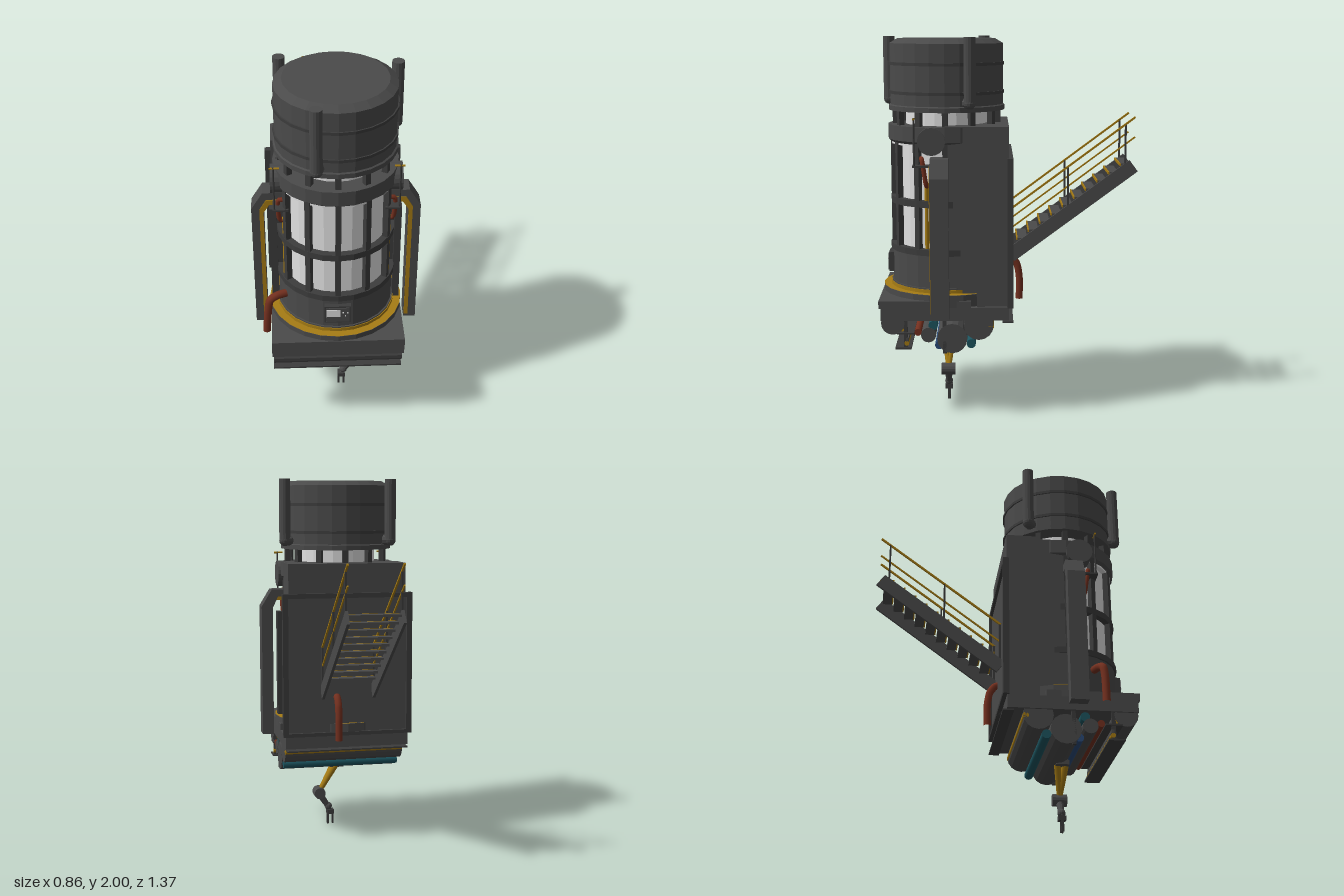
import * as THREE from 'three';

const paint = (name, color, extra = {}) => {
  const m = new THREE.MeshStandardMaterial({ color, ...extra });
  m.name = name;
  return m;
};

export function createModel() {
  const root = new THREE.Group();
  root.name = 'tankMachine';
  const steel = paint('dark steel', 0x4a4a4a, { flatShading: true });
  const trim = paint('darker trim', 0x3c3c3c, { flatShading: true });
  const white = paint('pale glass', 0xe2e2e2, { flatShading: true });
  const yellow = paint('safety yellow', 0xa67c14);
  const red = paint('rust red', 0x74301f);
  const teal = paint('teal', 0x1c5560);
  const blue = paint('blue', 0x2a4a78);
  const V = (x, y, z) => new THREE.Vector3(x, y, z);
  const CZ = 0.33; // tank axis

  const add = (name, geo, mat, x = 0, y = 0, z = 0) => {
    const m = new THREE.Mesh(geo, mat);
    m.name = name;
    m.position.set(x, y, z);
    root.add(m);
    return m;
  };
  const box = (name, mat, x0, x1, y0, y1, z0, z1) =>
    add(name, new THREE.BoxGeometry(x1 - x0, y1 - y0, z1 - z0), mat, (x0 + x1) / 2, (y0 + y1) / 2, (z0 + z1) / 2);
  const drum = (name, mat, r, y0, y1, sides = 24) =>
    add(name, new THREE.CylinderGeometry(r, r, y1 - y0, sides), mat, 0, (y0 + y1) / 2, CZ);
  // round rod between two points
  const rod = (name, mat, a, b, r, r2 = r, sides = 10) => {
    const m = add(name, new THREE.CylinderGeometry(r2, r, a.distanceTo(b), sides), mat);
    m.position.copy(a).add(b).multiplyScalar(0.5);
    m.quaternion.setFromUnitVectors(V(0, 1, 0), b.clone().sub(a).normalize());
    return m;
  };
  const lathe = (name, mat, pts) =>
    add(name, new THREE.LatheGeometry(pts.map(p => new THREE.Vector2(...p)), 24), mat, 0, 0, CZ);
  const plate = (name, mat, pts, depth, z) =>
    add(name, new THREE.ExtrudeGeometry(new THREE.Shape(pts.map(p => new THREE.Vector2(...p))),
      { depth, bevelEnabled: false }), mat, 0, 0, z);
  const pipe = (name, mat, pts, r) =>
    add(name, new THREE.TubeGeometry(new THREE.CatmullRomCurve3(pts, false, 'catmullrom', 0.3), 20, r, 10), mat);

  // ---- tank
  drum('tankBase', steel, 0.3, 0.6, 0.88);
  drum('lowerHoop', trim, 0.31, 0.865, 0.898);
  drum('tankGlass', white, 0.27, 0.88, 1.46);
  drum('middleHoop', trim, 0.305, 1.12, 1.155);
  drum('glassTopRim', white, 0.298, 1.437, 1.452);
  lathe('upperCollar', steel, [[0, 1.445], [0.295, 1.445], [0.315, 1.462], [0.315, 1.54], [0, 1.54]]);
  drum('neckGlass', white, 0.22, 1.53, 1.63);
  lathe('tankCap', steel, [[0, 1.615], [0.31, 1.615], [0.31, 1.64], [0.302, 1.645], [0.302, 1.965], [0.26, 1.99], [0, 1.99]]);
  for (const y of [1.71, 1.86]) drum('capHoop', trim, 0.309, y - 0.008, y + 0.008);
  for (let i = 0; i < 12; i++) {
    const a = i * Math.PI / 6, s = Math.sin(a), c = Math.cos(a);
    const bar = add('cageBar', new THREE.BoxGeometry(0.028, 0.58, 0.03), trim, s * 0.288, 1.17, CZ + c * 0.288);
    const stub = add('neckBar', new THREE.BoxGeometry(0.03, 0.09, 0.03), trim, s * 0.275, 1.58, CZ + c * 0.275);
    bar.rotation.y = stub.rotation.y = a;
  }
  // chimney pipes beside the cap, each with an elbow into it
  for (const [x, z] of [[-0.27, 0.13], [0.31, 0.2], [-0.105, 0.645]]) {
    rod('ventPipe', steel, V(x, 1.665, z), V(x, 2, z), 0.031, 0.031, 14);
    add('ventElbow', new THREE.SphereGeometry(0.032, 14, 8), steel, x, 1.665, z);
    const inner = V(x, 0, z - CZ).setLength(0.24);
    rod('ventInlet', steel, V(x, 1.665, z), V(inner.x, 1.665, CZ + inner.z), 0.03);
  }

  // ---- rear housing, with a framed back panel
  box('rearHousing', steel, -0.325, 0.325, 0.53, 1.545, 0, 0.17);
  box('housingFront', steel, -0.3, 0.3, 0.53, 1.545, 0.17, 0.33);
  box('backPanel', steel, -0.33, 0.33, 0.62, 1.37, -0.006, 0.01);
  for (const s of [-1, 1]) box('frameSide', trim, s * 0.345 - 0.015, s * 0.345 + 0.015, 0.6, 1.385, -0.022, 0.01);
  box('frameTop', trim, -0.36, 0.36, 1.36, 1.385, -0.022, 0.01);
  box('frameBottom', trim, -0.36, 0.36, 0.6, 0.62, -0.022, 0.01);
  box('rearLedge', trim, -0.34, 0.34, 0.515, 0.523, -0.022, 0.035);

  // ---- platform
  box('platform', steel, -0.345, 0.345, 0.53, 0.6, 0, 0.675);
  box('platformFront', steel, -0.345, 0.345, 0.595, 0.635, 0.2, 0.685);
  drum('platformRing', steel, 0.352, 0.6, 0.665);
  const ring = add('yellowRing', new THREE.RingGeometry(0.3, 0.352, 24), yellow, 0, 0.667, CZ);
  ring.rotation.x = -Math.PI / 2;
  drum('ringCurb', yellow, 0.312, 0.66, 0.685);
  drum('ringCurbTop', steel, 0.308, 0.68, 0.692);

  // ---- control panel
  box('controlPanel', trim, -0.07, 0.065, 0.735, 0.84, 0.61, 0.65);
  box('panelFace', steel, -0.062, 0.057, 0.743, 0.832, 0.648, 0.654);
  box('screen', white, -0.06, 0.012, 0.778, 0.823, 0.652, 0.657);
  for (let i = 0; i < 3; i++) box('button', white, 0.022 + i * 0.011, 0.029 + i * 0.011, 0.8 - i % 2 * 0.02, 0.808 - i % 2 * 0.02, 0.652, 0.657);

  // ---- mirrored side equipment
  for (const s of [-1, 1]) {
    const mir = pts => (s > 0 ? pts : pts.map(([x, y]) => [-x, y]).reverse());
    plate('sideArm', steel, mir([[0.365, 0.555], [0.428, 0.555], [0.428, 1.29], [0.37, 1.385], [0.2, 1.385], [0.2, 1.345], [0.335, 1.345], [0.365, 1.28]]), 0.095, 0.312);
    plate('armStripe', yellow, mir([[0.366, 0.575], [0.387, 0.575], [0.387, 1.285], [0.352, 1.345], [0.21, 1.345], [0.21, 1.318], [0.335, 1.318], [0.366, 1.27]]), 0.008, 0.404);
    box('armInnerPost', trim, s * 0.32 - 0.018, s * 0.32 + 0.018, 0.6, 1.26, 0.32, 0.37);
    rod('yellowPipe', yellow, V(s * 0.265, 0.9, 0.43), V(s * 0.265, 1.25, 0.43), 0.01);
    rod('sideDrum', steel, V(s * 0.24, 1.47, 0.4), V(s * 0.328, 1.47, 0.4), 0.072, 0.072, 20);
    pipe('redHose', red, [V(s * 0.2, 1.23, 0.42), V(s * 0.285, 1.24, 0.43), V(s * 0.29, 1.37, 0.45), V(s * 0.23, 1.375, 0.46)], 0.012);
    box('hoseShelf', trim, s * 0.28 - 0.04, s * 0.28 + 0.04, 1.335, 1.345, 0.41, 0.5);
    rod('guardPost', trim, V(s * 0.31, 1.34, 0.49), V(s * 0.31, 1.59, 0.49), 0.005);
    rod('guardRail', yellow, V(s * 0.28, 1.585, 0.49), V(s * 0.33, 1.585, 0.49), 0.005);
  }
  // red drain pipes, front and back
  pipe('frontDrain', red, [V(-0.372, 0.57, 0.505), V(-0.362, 0.7, 0.505), V(-0.35, 0.77, 0.5), V(-0.31, 0.79, 0.485), V(-0.25, 0.79, 0.46)], 0.021);
  pipe('backDrain', red, [V(0.06, 0.58, -0.06), V(0.06, 0.7, -0.06), V(0.06, 0.77, -0.048), V(0.06, 0.81, -0.02), V(0.06, 0.82, 0.02)], 0.02);

  // ---- staircase rising to the back
  const beam = (name, mat, x, z0, y0, z1, y1, w, h) => {
    const m = add(name, new THREE.BoxGeometry(w, h, Math.hypot(z1 - z0, y1 - y0)), mat, x, (y0 + y1) / 2, (z0 + z1) / 2);
    m.rotation.x = Math.atan2(y1 - y0, z0 - z1);
  };
  for (const s of [-1, 1]) {
    const x = s * 0.142;
    beam('stringer', steel, x, -0.01, 0.838, -0.665, 1.322, 0.015, 0.075);
    beam('handrail', yellow, x, -0.01, 1.09, -0.67, 1.58, 0.01, 0.01);
    beam('middleRail', yellow, x, -0.01, 0.985, -0.67, 1.475, 0.008, 0.008);
    for (const z of [-0.015, -0.317, -0.62])
      box('railPost', trim, x - 0.005, x + 0.005, 0.85 - z * 0.735, 1.083 - z * 0.74, z - 0.005, z + 0.005);
  }
  for (let i = 0; i < 10; i++) {
    const z = -0.045 - i * 0.061, y = 0.925 + i * 0.0445;
    box('tread', steel, -0.135, 0.135, y - 0.006, y + 0.006, z - 0.055, z - 0.004);
    box('treadNosing', yellow, -0.135, 0.135, y - 0.006, y + 0.007, z - 0.004, z + 0.003);
  }

  // ---- rollers and pipes under the platform: name, material, z, y, radius, half length
  for (const [n, m, z, y, r, h] of [
    ['mainRoller', steel, 0.3, 0.43, 0.08, 0.335], ['rearRoller', steel, 0.16, 0.5, 0.078, 0.335],
    ['frontRoller', steel, 0.612, 0.515, 0.062, 0.335], ['smallRoller', steel, 0.425, 0.45, 0.04, 0.335],
    ['tealPipe', teal, 0.2, 0.4, 0.024, 0.33], ['tealUpperPipe', teal, 0.4, 0.5, 0.025, 0.33],
    ['bluePipe', blue, 0.37, 0.39, 0.022, 0.32], ['redPipe', red, 0.48, 0.465, 0.019, 0.335],
    ['rearYellowPipe', yellow, 0.095, 0.495, 0.016, 0.335], ['frontYellowPipe', yellow, 0.565, 0.485, 0.016, 0.33],
    ['railRod', yellow, 0.54, 0.405, 0.013, 0.335],
  ]) rod(n, m, V(-h, y, z), V(h, y, z), r, r, 16);
  box('lowerRail', trim, -0.342, 0.342, 0.375, 0.384, 0.515, 0.6);
  box('upperRail', trim, -0.342, 0.342, 0.455, 0.465, 0.5, 0.59);
  box('railWeb', steel, -0.335, 0.335, 0.415, 0.435, 0.53, 0.545);
  for (const s of [-1, 1]) {
    box('railHanger', trim, s * 0.325 - 0.01, s * 0.325 + 0.01, 0.35, 0.54, 0.33, 0.35);
    box('railEnd', trim, s * 0.325 - 0.008, s * 0.325 + 0.008, 0.38, 0.54, 0.535, 0.555);
  }

  // ---- jointed arm below
  box('armMount', steel, -0.04, 0.04, 0.345, 0.38, 0.295, 0.365);
  for (const z of [0.308, 0.35]) rod('upperArm', yellow, V(0.005, 0.36, z), V(0.095, 0.2, 0.33), 0.02, 0.014);
  rod('elbow', steel, V(0.1, 0.19, 0.292), V(0.1, 0.19, 0.368), 0.033, 0.033, 14);
  rod('forearm', steel, V(0.1, 0.185, 0.33), V(0.045, 0.1, 0.33), 0.022, 0.015);
  add('wrist', new THREE.SphereGeometry(0.022, 12, 8), steel, 0.045, 0.105, 0.33);
  box('hand', trim, 0.014, 0.054, 0.06, 0.085, 0.31, 0.35);
  rod('handStem', steel, V(0.045, 0.11, 0.33), V(0.034, 0.07, 0.33), 0.012);
  for (const x of [0.019, 0.048]) box('finger', trim, x - 0.005, x + 0.005, 0, 0.065, 0.322, 0.338);

  return root;
}
